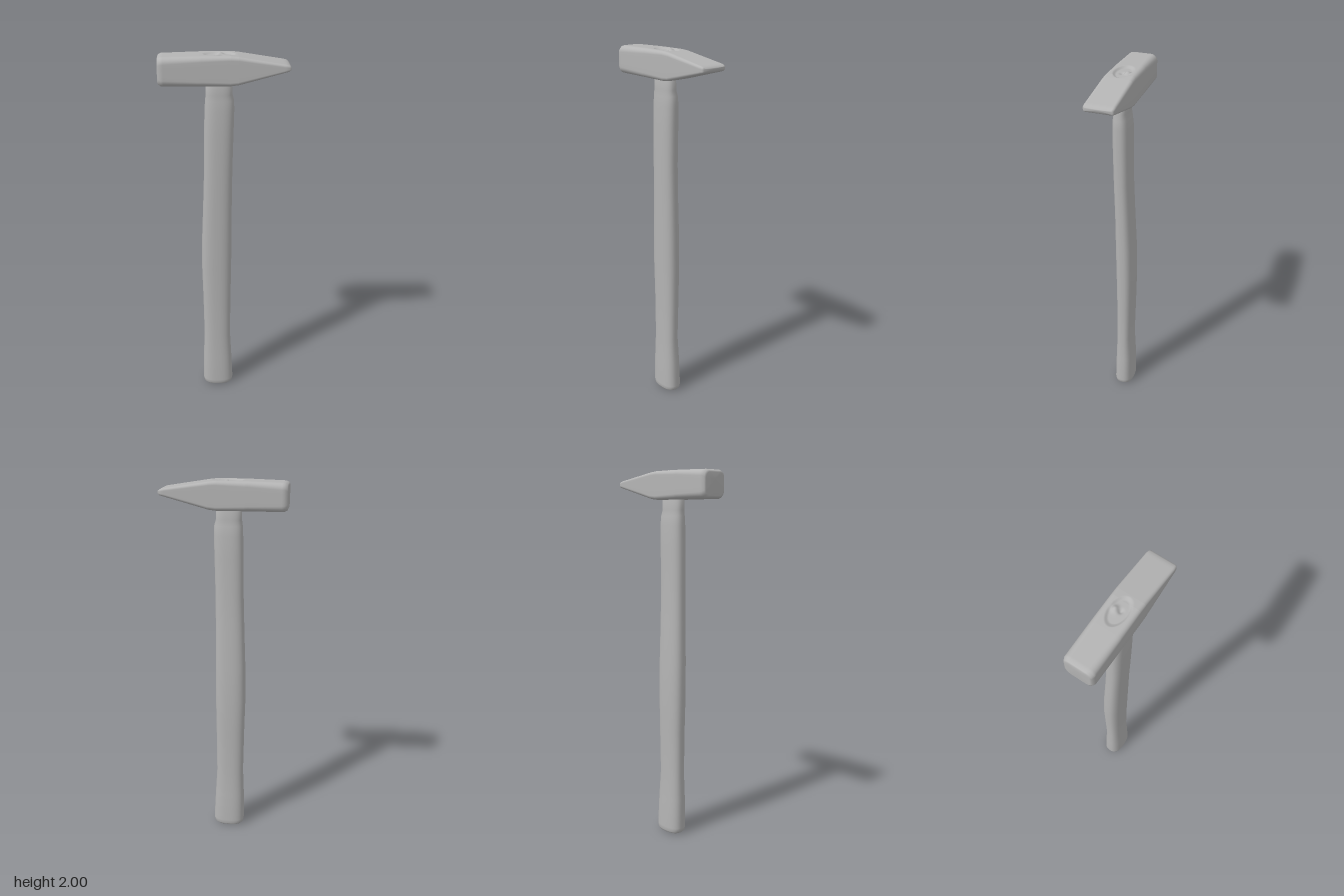
import * as THREE from 'three';

// Closed skin over a list of rings (arrays of [x, y, z]) with equal point counts
function loft(rings) {
  const n = rings[0].length;
  const pos = rings.flat(2);
  const index = [];
  for (let i = 0; i < rings.length - 1; i++) {
    for (let j = 0; j < n; j++) {
      const k = (j + 1) % n;
      const a = i * n + j, b = i * n + k, c = a + n, d = b + n;
      index.push(a, b, d, a, d, c);
    }
  }
  // End caps fan out from the ring centres
  [0, rings.length - 1].forEach((r, side) => {
    const centre = pos.length / 3;
    for (let axis = 0; axis < 3; axis++) {
      pos.push(rings[r].reduce((s, p) => s + p[axis], 0) / n);
    }
    for (let j = 0; j < n; j++) {
      const a = r * n + j, b = r * n + (j + 1) % n;
      if (side) index.push(centre, a, b);
      else index.push(centre, b, a);
    }
  });
  const g = new THREE.BufferGeometry();
  g.setAttribute('position', new THREE.Float32BufferAttribute(pos, 3));
  g.setIndex(index);
  g.computeVertexNormals();
  return g;
}

// Linear lookup in a table whose first column is the key
function sample(table, t) {
  let i = 0;
  while (i < table.length - 2 && t > table[i + 1][0]) i++;
  const a = table[i], b = table[i + 1];
  const f = (t - a[0]) / (b[0] - a[0]);
  return a.map((v, k) => v + (b[k] - v) * f);
}

// Handle: y, min x, max x, min z, max z
const HANDLE = [
  [0.0, -0.098, 0.03, -0.055, 0.024],
  [0.004, -0.108, 0.04, -0.063, 0.032],
  [0.014, -0.118, 0.049, -0.069, 0.039],
  [0.035, -0.122, 0.053, -0.07, 0.041],
  [0.2, -0.12, 0.045, -0.066, 0.038],
  [0.35, -0.114, 0.037, -0.058, 0.033],
  [0.6, -0.118, 0.039, -0.063, 0.034],
  [0.8, -0.123, 0.042, -0.066, 0.037],
  [1.0, -0.12, 0.043, -0.062, 0.04],
  [1.2, -0.112, 0.043, -0.053, 0.042],
  [1.4, -0.105, 0.045, -0.046, 0.047],
  [1.6, -0.103, 0.05, -0.045, 0.05],
  [1.72, -0.099, 0.053, -0.043, 0.05],
  [1.77, -0.096, 0.051, -0.037, 0.047],
  [1.8, -0.092, 0.043, -0.032, 0.045],
  [1.9, -0.092, 0.041, -0.032, 0.045],
];

function handleGeometry() {
  const power = 2 / 2.5;
  const bow = (v) => Math.sign(v) * Math.abs(v) ** power;
  return loft(HANDLE.map(([y, x0, x1, z0, z1]) =>
    Array.from({ length: 40 }, (_, j) => {
      const a = (j / 40) * Math.PI * 2;
      return [
        (x0 + x1) / 2 + bow(Math.cos(a)) * (x1 - x0) / 2,
        y,
        (z0 + z1) / 2 - bow(Math.sin(a)) * (z1 - z0) / 2,
      ];
    })));
}

// Head: x, bottom y, top y, half depth, corner radius
const HEAD = [
  [-0.33, 1.868, 1.982, 0.063, 0.03],
  [-0.326, 1.859, 1.99, 0.072, 0.032],
  [-0.312, 1.853, 1.996, 0.079, 0.033],
  [-0.13, 1.853, 2.0, 0.079, 0.026],
  [0.03, 1.852, 2.0, 0.078, 0.02],
  [0.07, 1.857, 1.996, 0.078, 0.018],
  [0.305, 1.919, 1.957, 0.077, 0.012],
  [0.319, 1.923, 1.953, 0.075, 0.01],
  [0.328, 1.93, 1.946, 0.069, 0.006],
];

// Shallow sunken eye on top, with a small knob and pit
function eyeOffset(x, z) {
  const d = ((x + 0.022) / 0.082) ** 2 + (z / 0.048) ** 2;
  if (d >= 1) return 0;
  const bump = (cx, cz, r) => Math.exp(-((x - cx) ** 2 + (z - cz) ** 2) / (r * r));
  return -0.009 * Math.min(1, (1 - d) * 2.5)
    + 0.013 * bump(-0.018, -0.022, 0.016)
    - 0.01 * bump(-0.015, 0.004, 0.011);
}

function headRing([x, y0, y1, half, r]) {
  const signs = [[1, 1], [-1, 1], [-1, -1], [1, -1]];
  const corner = (k, t) => {
    const [sy, sz] = signs[k % 4];
    const a = (k + t) * Math.PI / 2;
    return [
      x,
      (y0 + y1) / 2 + sy * ((y1 - y0) / 2 - r) + r * Math.cos(a),
      sz * (half - r) + r * Math.sin(a),
    ];
  };
  const ring = [];
  for (let k = 0; k < 4; k++) {
    for (let i = 0; i <= 6; i++) ring.push(corner(k, i / 6));
    const from = corner(k, 1), to = corner(k + 1, 0);
    const cuts = k === 3 ? 30 : 4; // the top carries the eye
    for (let i = 1; i < cuts; i++) {
      const p = from.map((v, q) => v + (to[q] - v) * i / cuts);
      if (k === 3) p[1] += eyeOffset(p[0], p[2]);
      ring.push(p);
    }
  }
  return ring;
}

function headGeometry() {
  const xs = HEAD.map((s) => s[0]);
  for (let i = 0; i <= 48; i++) xs.push(-0.1175 + i * 0.004);
  for (const x of [-0.3, -0.22, 0.15, 0.23, 0.295]) xs.push(x);
  xs.sort((a, b) => a - b);
  return loft(xs.map((x) => headRing(sample(HEAD, x))));
}

export function createModel() {
  const group = new THREE.Group();
  group.name = 'hammer';
  const grey = new THREE.MeshStandardMaterial({ color: 0xb4b4b4 });
  grey.name = 'plain grey';

  const parts = { handle: handleGeometry(), head: headGeometry() };
  for (const [name, geometry] of Object.entries(parts)) {
    const mesh = new THREE.Mesh(geometry, grey);
    mesh.name = name;
    group.add(mesh);
  }
  return group;
}
